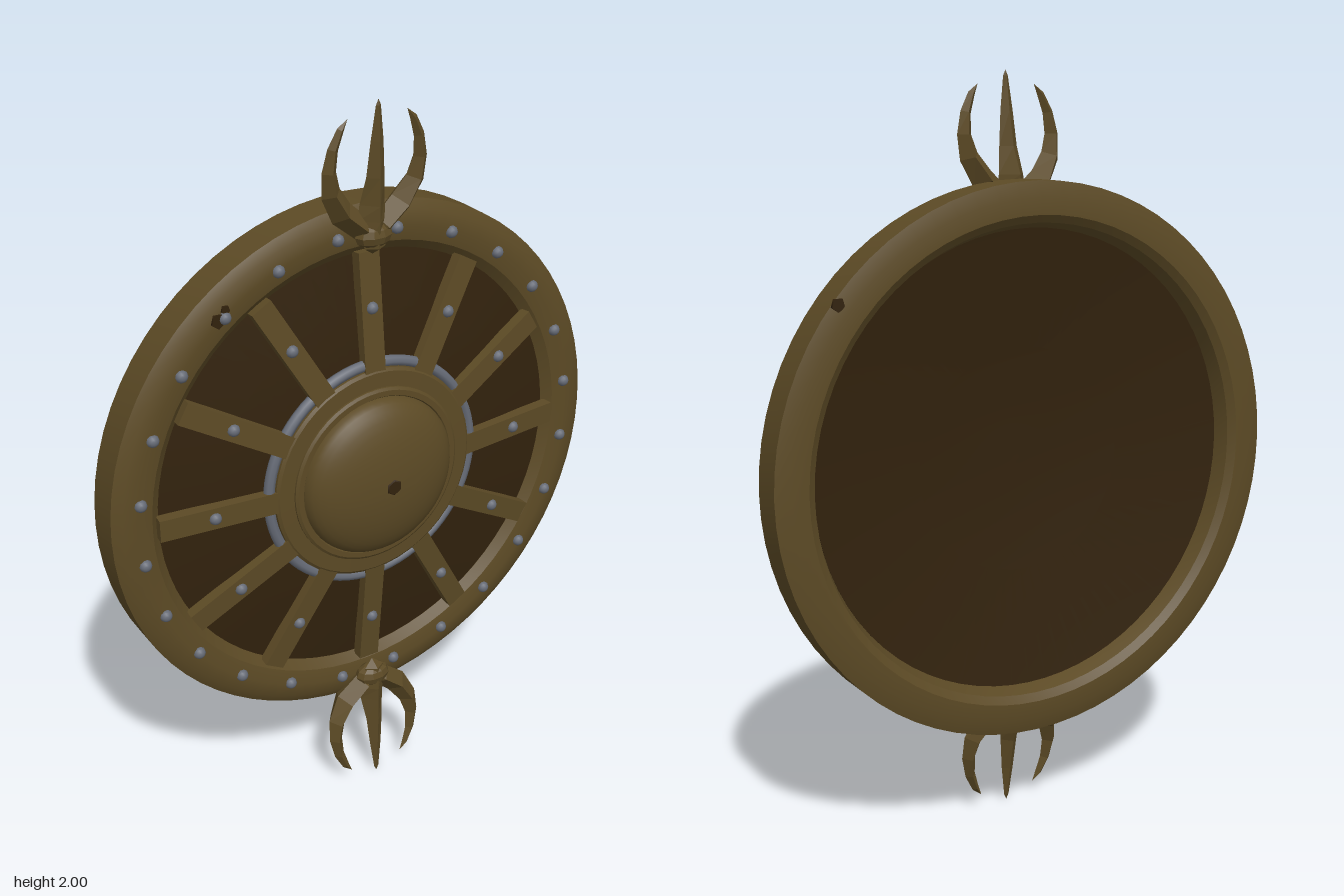
import * as THREE from 'three';
import { toCreasedNormals } from 'three/addons/utils/BufferGeometryUtils.js';

const material = (name, color) => {
  const m = new THREE.MeshStandardMaterial({ color });
  m.name = name;
  return m;
};

// Profile of [radius, z] pairs turned about the shield's z axis
function turned(profile, segments, crease = 0.5) {
  const g = new THREE.LatheGeometry(profile.map(([r, z]) => new THREE.Vector2(r, z)), segments);
  return toCreasedNormals(g.rotateX(Math.PI / 2), crease);
}

// Faceted blade with a diamond section; rows are [x, y, halfWidth, front z, back z]
function blade(rows, side = 1) {
  const rings = rows.map(([x, y, w, zf, zb], i) => {
    const a = rows[Math.max(i - 1, 0)], b = rows[Math.min(i + 1, rows.length - 1)];
    const t = new THREE.Vector2((b[0] - a[0]) * side, b[1] - a[1]).normalize();
    const zm = zb + (zf - zb) * 0.55;
    return [
      [x * side + t.y * w, y - t.x * w, zm], [x * side, y, zf],
      [x * side - t.y * w, y + t.x * w, zm], [x * side, y, zb],
    ];
  });
  const pos = [];
  for (let i = 0; i < rings.length - 1; i++) {
    for (let k = 0; k < 4; k++) {
      const n = (k + 1) % 4, lo = rings[i], hi = rings[i + 1];
      pos.push(...lo[k], ...hi[k], ...lo[n], ...lo[n], ...hi[k], ...hi[n]);
    }
  }
  const g = new THREE.BufferGeometry();
  g.setAttribute('position', new THREE.Float32BufferAttribute(pos, 3));
  g.computeVertexNormals();
  return g;
}

export function createModel() {
  const bronze = material('bronze', 0x5c4a25);
  const wood = material('dark wood', 0x32220d);
  const steel = material('steel', 0x666b76);

  const model = new THREE.Group();
  model.name = 'roundShield';
  const shield = new THREE.Group();
  shield.name = 'shield';
  shield.position.y = 1;
  model.add(shield);

  const add = (name, geometry, mat, parent = shield) => {
    const mesh = new THREE.Mesh(geometry, mat);
    mesh.name = name;
    parent.add(mesh);
    return mesh;
  };

  // Rim with bevelled edges
  add('rim', turned([
    [0.605, -0.06], [0.625, -0.115], [0.645, -0.13], [0.69, -0.13], [0.73, -0.118],
    [0.73, -0.022], [0.705, -0.006], [0.665, 0], [0.625, -0.008], [0.6, -0.03], [0.605, -0.06],
  ], 72), bronze);

  // Shallow domed board, hollow at the back
  add('board', turned([
    [0, -0.02], [0.3, -0.032], [0.61, -0.075], [0.61, -0.032], [0.45, -0.008], [0.3, 0.01], [0, 0.02],
  ], 72), wood);

  // Hub ring, flange and boss
  add('hubRing', turned([[0.24, 0], [0.3, 0], [0.3, 0.034], [0.292, 0.04], [0.24, 0.042]], 48), bronze);
  const boss = [[0.25, 0.03], [0.25, 0.047], [0.243, 0.052], [0.228, 0.052]];
  for (let i = 0; i <= 10; i++) {
    const a = (i / 10) * Math.PI / 2;
    boss.push([0.225 * Math.cos(a), 0.048 + 0.08 * Math.sin(a)]);
  }
  add('boss', turned(boss, 48), bronze);
  const stud = add('bossStud', new THREE.CylinderGeometry(0.02, 0.026, 0.008, 6), wood);
  stud.rotation.x = Math.PI / 2;
  stud.position.z = 0.127;

  // Steel band showing between the spokes
  add('steelBand', new THREE.TorusGeometry(0.313, 0.015, 8, 72), steel).position.z = 0.02;

  // Half-round rivet facing forward
  const rivetGeometry = new THREE.SphereGeometry(0.017, 10, 5, 0, Math.PI * 2, 0, Math.PI / 2);
  rivetGeometry.rotateX(Math.PI / 2);
  const rivet = (name, angle, radius, z) =>
    add(name, rivetGeometry, steel).position.set(radius * Math.cos(angle), radius * Math.sin(angle), z);

  // Spokes sloping back from hub to rim
  const slope = Math.atan2(0.035, 0.34);
  for (let i = 0; i < 12; i++) {
    const a = (i / 12) * Math.PI * 2;
    const arm = new THREE.Group();
    arm.name = 'spokeArm';
    arm.rotation.z = a;
    shield.add(arm);
    const spoke = add('spoke', new THREE.BoxGeometry(0.34, 0.06, 0.032), bronze, arm);
    spoke.position.set(0.44, 0, 0.006);
    spoke.rotation.y = slope;
    rivet('spokeRivet', a, 0.465, 0.017);
  }
  for (let i = 0; i < 24; i++) rivet('rimRivet', ((i + 0.5) / 24) * Math.PI * 2, 0.66, -0.003);

  // Three-pronged finials, top and bottom
  for (const turn of [0, Math.PI]) {
    const finial = new THREE.Group();
    finial.name = turn ? 'bottomFinial' : 'topFinial';
    finial.rotation.z = turn;
    shield.add(finial);
    add('spike', blade([
      [0, 0.61, 0, 0.02, 0.02], [0, 0.63, 0.03, 0.05, 0.01], [0, 0.7, 0.042, 0.056, -0.03],
      [0, 0.74, 0.036, 0.056, -0.03], [0, 0.81, 0.026, 0.055, 0.004], [0, 0.9, 0.018, 0.052, 0.024],
      [0, 0.985, 0.007, 0.05, 0.038], [0, 1, 0, 0.045, 0.045],
    ]), bronze, finial);
    for (const side of [1, -1]) {
      add(side > 0 ? 'leftProng' : 'rightProng', blade([
        [0, 0.66, 0, 0, 0], [0.03, 0.68, 0.03, 0.052, -0.03], [0.085, 0.727, 0.033, 0.053, -0.035],
        [0.12, 0.785, 0.027, 0.052, -0.012], [0.129, 0.84, 0.02, 0.052, 0.005],
        [0.121, 0.895, 0.015, 0.05, 0.02], [0.102, 0.94, 0.01, 0.049, 0.03], [0.083, 0.965, 0, 0.042, 0.042],
      ], side), bronze, finial);
    }
    // Rounded clasp holding the finial to the rim
    const clasp = add('clasp', toCreasedNormals(new THREE.SphereGeometry(1, 10, 6), 0.3), bronze, finial);
    clasp.scale.set(0.052, 0.034, 0.035);
    clasp.position.set(0, 0.66, 0.022);
  }

  // Small dark nicks in the rim
  for (const [x, y, z, s] of [[-0.42, 0.52, -0.001, 0.02], [-0.4, 0.545, -0.001, 0.012], [0.555, 0.455, -0.122, 0.018]]) {
    const nick = add('nick', new THREE.CylinderGeometry(s, s, 0.008, 5), wood);
    nick.rotation.x = Math.PI / 2;
    nick.position.set(x, y, z);
  }
  return model;
}
